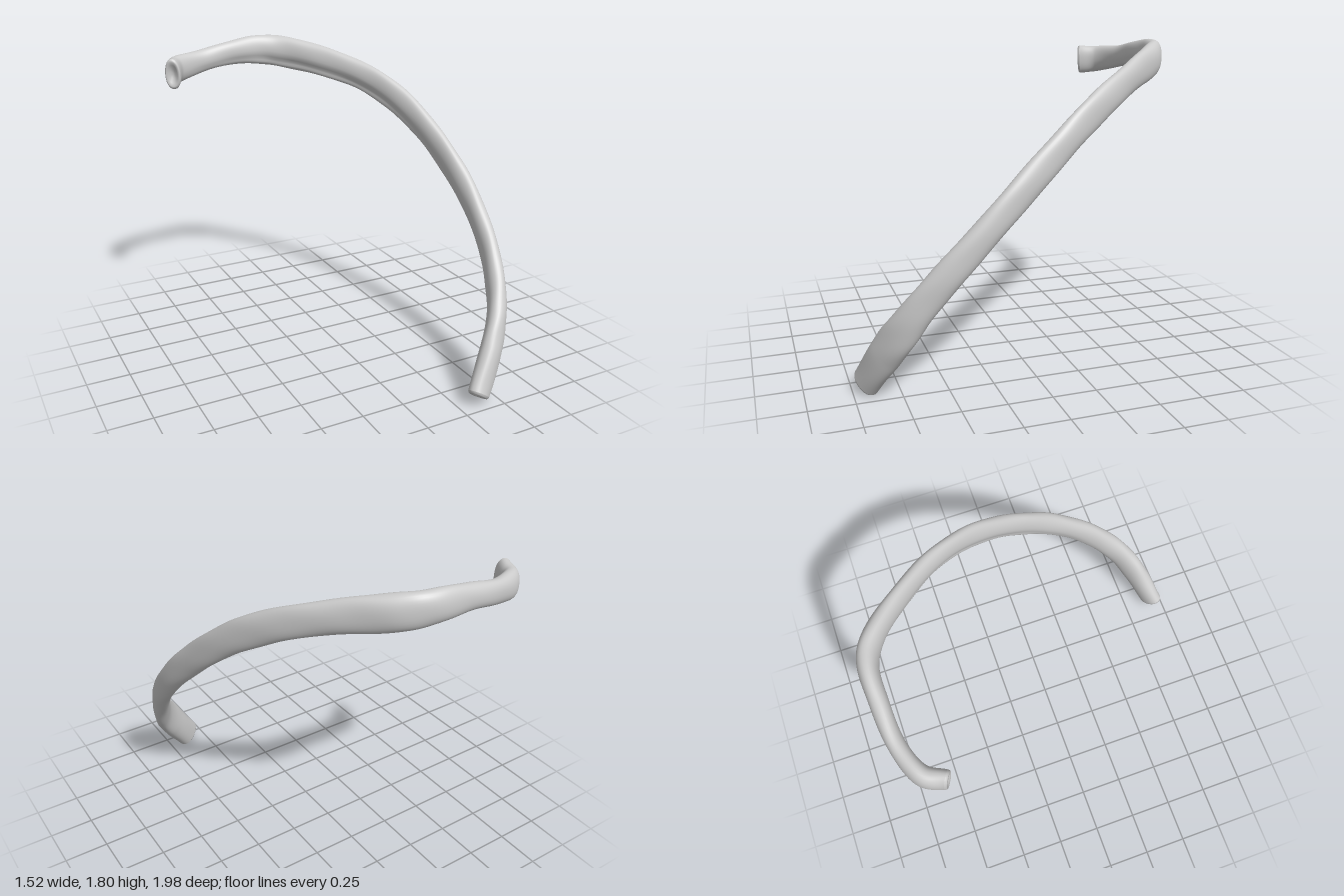
import * as THREE from 'three';

// Stations from the back end to the front end: x, y, z, half thickness, half height
const STATIONS = [
  [-0.73, 1.66, -0.75, 0.046, 0.091],
  [-0.67, 1.668, -0.855, 0.05, 0.082],
  [-0.5, 1.695, -0.92, 0.045, 0.068],
  [-0.3, 1.728, -0.937, 0.047, 0.074],
  [-0.1, 1.736, -0.936, 0.053, 0.09],
  [0.05, 1.718, -0.868, 0.054, 0.1],
  [0.22, 1.675, -0.7, 0.047, 0.092],
  [0.39, 1.605, -0.5, 0.043, 0.088],
  [0.515, 1.5, -0.3, 0.042, 0.087],
  [0.604, 1.358, -0.1, 0.043, 0.084],
  [0.663, 1.187, 0.1, 0.045, 0.081],
  [0.696, 0.998, 0.3, 0.047, 0.079],
  [0.69, 0.79, 0.5, 0.05, 0.079],
  [0.652, 0.61, 0.65, 0.052, 0.083],
  [0.595, 0.445, 0.762, 0.055, 0.093],
  [0.505, 0.285, 0.845, 0.058, 0.096],
  [0.375, 0.085, 0.927, 0.054, 0.086],
];
const LENGTH_STEPS = 160;
const SIDES = 36;

const path = new THREE.CatmullRomCurve3(STATIONS.map(([x, y, z]) => new THREE.Vector3(x, y, z)), false, 'catmullrom', 0.5);
const sizes = new THREE.CatmullRomCurve3(STATIONS.map((s) => new THREE.Vector3(s[3], s[4], 0)), false, 'catmullrom', 0.5);

// Upright frame at u: t along the bone, w across its height, n outwards
function frameAt(u) {
  const t = path.getTangent(u);
  const w = new THREE.Vector3(0, 1, 0).addScaledVector(t, -t.y).normalize();
  const n = new THREE.Vector3().crossVectors(w, t);
  const size = sizes.getPoint(u);
  return { c: path.getPoint(u), t, w, n, a: size.x, b: size.y };
}

// Flattened oval section with a shallow groove low on the inner side
function ringAt(u, scale = 1, push = 0) {
  const f = frameAt(u);
  const groove = 0.35 * Math.sin(Math.PI * Math.min(1, u * 1.15)) ** 2;
  const ring = [];
  for (let j = 0; j < SIDES; j++) {
    const q = (j / SIDES) * Math.PI * 2;
    const c = Math.cos(q), s = Math.sin(q);
    let across = Math.sign(c) * Math.abs(c) ** 0.9;
    if (c < 0) across *= 1 - groove * Math.exp(-(((s + 0.55) / 0.28) ** 2));
    const ripple = 1 + 0.018 * Math.sin(u * 47 + 2 * q) + 0.012 * Math.sin(u * 83 - 3 * q);
    const up = Math.sign(s) * Math.abs(s) ** 0.92;
    ring.push(f.c.clone()
      .addScaledVector(f.n, f.a * across * ripple * scale)
      .addScaledVector(f.w, f.b * up * ripple * scale)
      .addScaledVector(f.t, push));
  }
  return ring;
}

// Joins rings into a smooth skin, optionally closed by a centre point
function skin(rings, centre) {
  const points = rings.flat();
  const index = [];
  const at = (i, j) => i * SIDES + (j % SIDES);
  for (let i = 0; i < rings.length - 1; i++) {
    for (let j = 0; j < SIDES; j++) {
      index.push(at(i, j), at(i, j + 1), at(i + 1, j));
      index.push(at(i, j + 1), at(i + 1, j + 1), at(i + 1, j));
    }
  }
  if (centre) {
    const last = rings.length - 1;
    for (let j = 0; j < SIDES; j++) index.push(at(last, j), at(last, j + 1), points.length);
    points.push(centre);
  }
  const geometry = new THREE.BufferGeometry().setFromPoints(points);
  geometry.setIndex(index);
  geometry.computeVertexNormals();
  return geometry;
}

// Rounded rim with a hollow in the middle; dir is -1 at the back, 1 at the front
function endFace(u, dir) {
  const steps = [[1, 0], [0.93, 0.011], [0.8, 0.014], [0.6, 0.006], [0.3, -0.006]];
  const rings = steps.map(([scale, push]) => ringAt(u, scale, push * dir));
  if (dir < 0) rings.forEach((ring) => ring.reverse());
  const f = frameAt(u);
  return skin(rings, f.c.addScaledVector(f.t, -0.01 * dir));
}

export function createModel() {
  const group = new THREE.Group();
  group.name = 'ribBone';
  const bone = new THREE.MeshStandardMaterial({ color: 0xcccccc });
  bone.name = 'paleGreyBone';

  const add = (name, geometry) => {
    const mesh = new THREE.Mesh(geometry, bone);
    mesh.name = name;
    group.add(mesh);
  };

  const rings = [];
  for (let i = 0; i <= LENGTH_STEPS; i++) rings.push(ringAt(i / LENGTH_STEPS));
  add('shaft', skin(rings));
  add('backEnd', endFace(0, -1));
  add('frontEnd', endFace(1, 1));
  return group;
}
